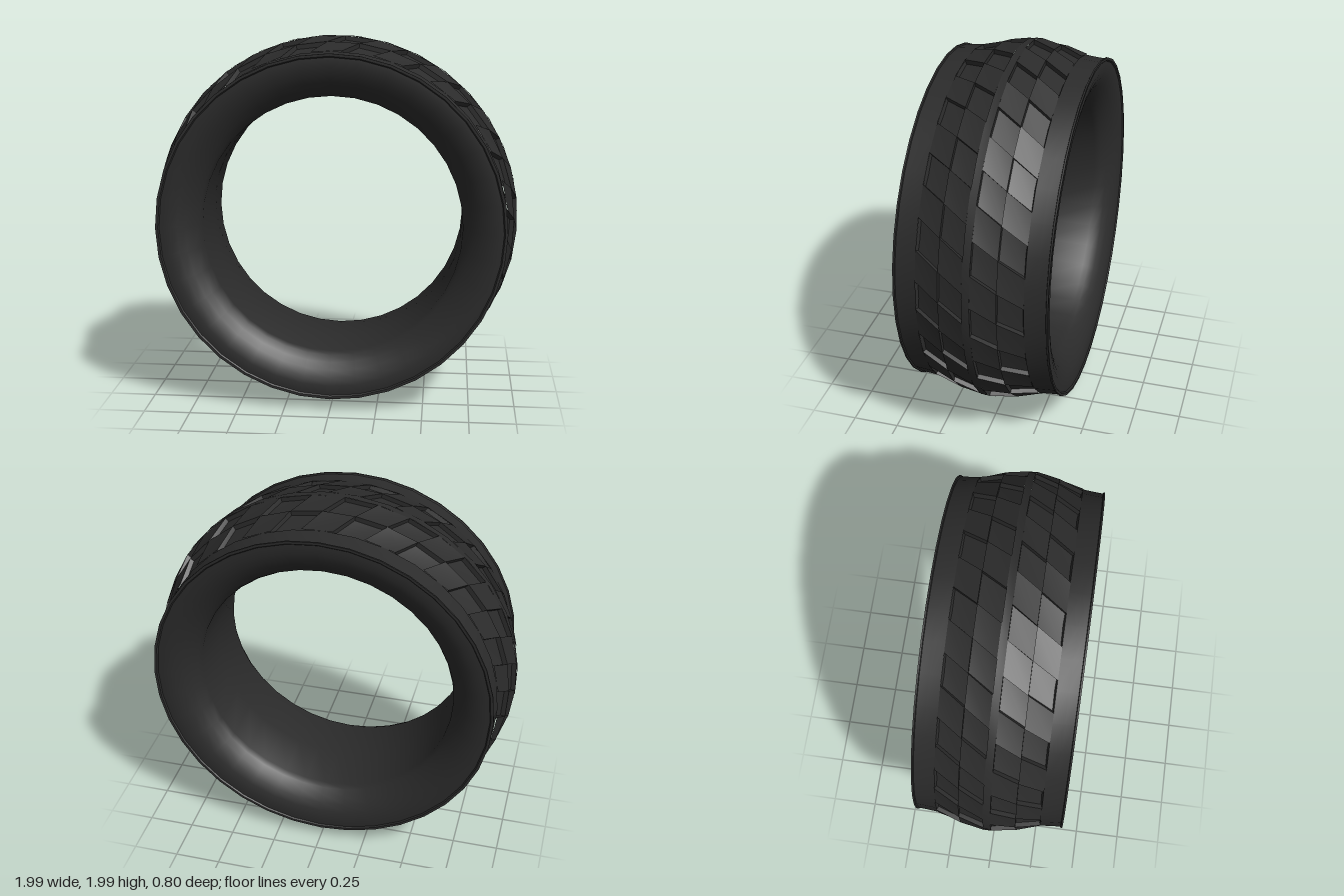
import * as THREE from 'three';
import { toCreasedNormals } from 'three/addons/utils/BufferGeometryUtils.js';

const CELLS = 36;                  // alternating blocks and pockets round the tread
const STEP = (Math.PI * 2) / CELLS;
const SKEW = 0.65;                 // slant of the tread blocks across the width
const DEPTH = 0.025;               // pocket depth

// Crown of the tread: radius at each distance from the middle
const CROWN = [[0, 1], [0.02, 0.998], [0.15, 0.975], [0.28, 0.937]];
function crownRadius(z) {
  const a = Math.abs(z);
  for (let i = 1; i < CROWN.length; i++) {
    const [z0, r0] = CROWN[i - 1], [z1, r1] = CROWN[i];
    if (a <= z1 + 1e-6) return r0 + (r1 - r0) * (a - z0) / (z1 - z0);
  }
  return CROWN[CROWN.length - 1][1];
}

// One ring of slanted cells; every second one is sunk when pockets is true
function treadBand(z0, z1, phase, pockets) {
  const pos = [];
  const point = (i, z, sink) => {
    const t = phase + SKEW * z + i * STEP, r = crownRadius(z) - sink;
    return [r * Math.cos(t), r * Math.sin(t), z];
  };
  const quad = (a, b, c, d) => pos.push(...a, ...b, ...c, ...a, ...c, ...d);
  for (let i = 0; i < CELLS; i++) {
    const sunk = pockets && i % 2 === 1;
    const corners = [[i, z0], [i + 1, z0], [i + 1, z1], [i, z1]];
    const top = corners.map(([k, z]) => point(k, z, 0));
    const floor = corners.map(([k, z]) => point(k, z, DEPTH));
    quad(...(sunk ? floor : top));
    if (!sunk) continue;
    for (let e = 0; e < 4; e++) {
      const n = (e + 1) % 4;
      quad(top[e], top[n], floor[n], floor[e]);
    }
  }
  const geo = new THREE.BufferGeometry();
  geo.setAttribute('position', new THREE.Float32BufferAttribute(pos, 3));
  return toCreasedNormals(geo, 0.5);
}

export function createModel() {
  const model = new THREE.Group();
  model.name = 'tyre';
  const rubber = new THREE.MeshStandardMaterial({ color: 0x2b2b2b });
  rubber.name = 'black rubber';

  // Shoulder, edge lip, rounded sidewall and bore: half a section, then mirrored
  const half = [
    [0.9, 0], [0.9, 0.265], [0.934, 0.279], [0.928, 0.34], [0.925, 0.388],
    [0.932, 0.391], [0.932, 0.4], [0.918, 0.4], [0.912, 0.393], [0.895, 0.394],
    [0.86, 0.392], [0.82, 0.381], [0.78, 0.36], [0.745, 0.332], [0.715, 0.3],
    [0.7, 0.27], [0.697, 0],
  ];
  const section = [
    ...half,
    ...half.slice(0, -1).reverse().map(([r, z]) => [r, -z]),
  ].map(([r, z]) => new THREE.Vector2(r, z));
  const lathe = new THREE.LatheGeometry(section, CELLS);
  lathe.rotateX(Math.PI / 2);
  const carcass = new THREE.Mesh(toCreasedNormals(lathe, 0.6), rubber);
  carcass.name = 'sidewalls and bore';
  model.add(carcass);

  // Tread: two staggered rows of pockets on each side of a plain centre rib
  const bands = [
    ['outerTreadFront', 0.15, 0.28, -0.065, true],
    ['innerTreadFront', 0.02, 0.15, -0.065 + STEP, true],
    ['centreRib', -0.02, 0.02, 0.08, false],
    ['innerTreadBack', -0.15, -0.02, 0.057, true],
    ['outerTreadBack', -0.28, -0.15, 0.057 + STEP, true],
  ];
  for (const [name, z0, z1, phase, pockets] of bands) {
    const band = new THREE.Mesh(treadBand(z0, z1, phase, pockets), rubber);
    band.name = name;
    model.add(band);
  }

  // Stand the tyre on the ground
  for (const part of model.children) part.position.y = 1;
  return model;
}
